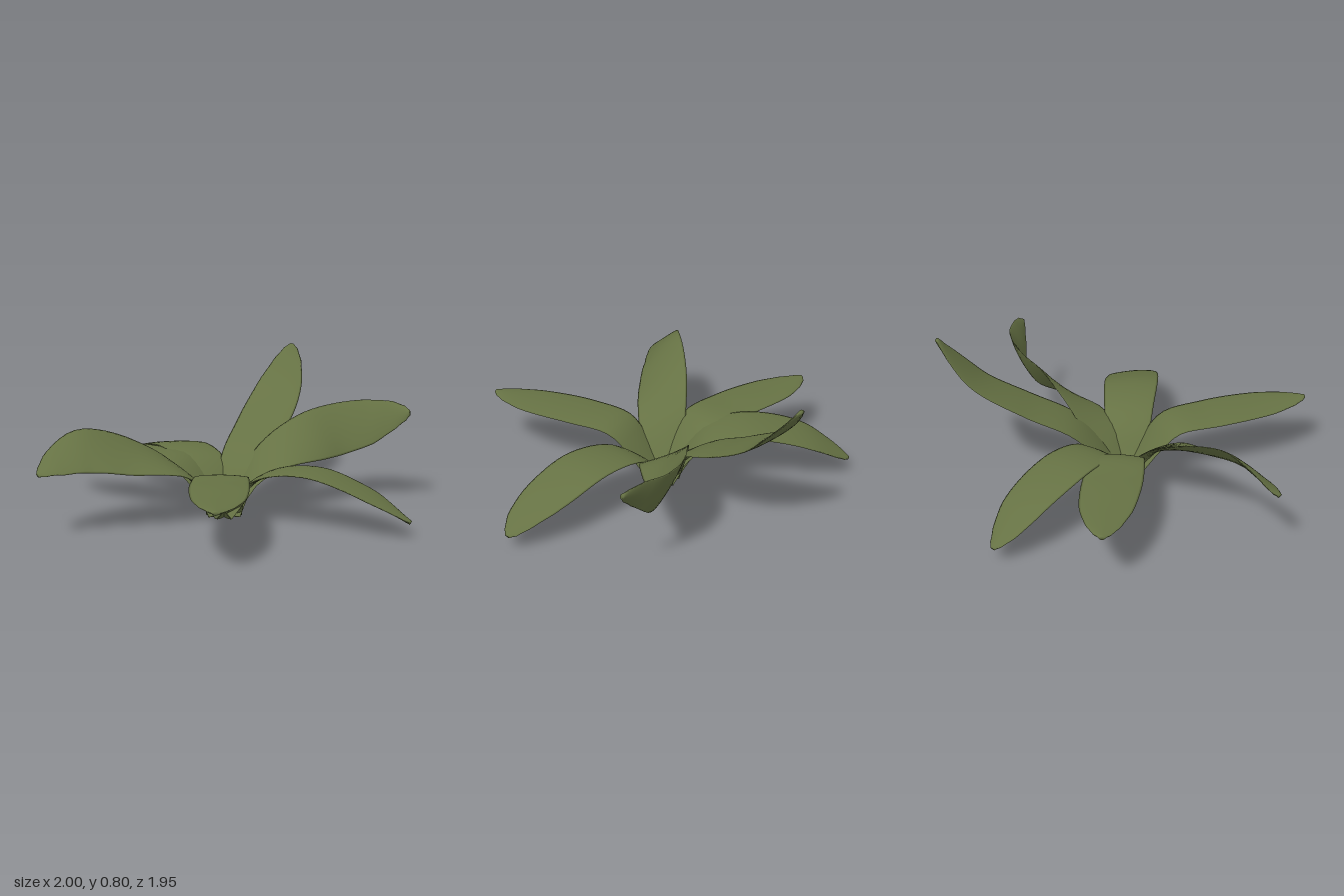
import * as THREE from 'three';

const CENTER = { x: -0.04, z: -0.06 };
const STEPS = 32; // rings along a leaf
const SIDES = 16; // points around a leaf section

// half width from base to tip
const widthCurve = new THREE.SplineCurve([
  [0, 0.096], [0.15, 0.112], [0.28, 0.13], [0.5, 0.149], [0.65, 0.149],
  [0.8, 0.13], [0.92, 0.084], [0.98, 0.042], [1, 0.016],
].map(([t, w]) => new THREE.Vector2(t, w)));

function halfWidth(t) {
  const p = widthCurve.points;
  let i = 0;
  while (i < p.length - 2 && t > p[i + 1].x) i++;
  const f = (t - p[i].x) / (p[i + 1].x - p[i].x);
  return widthCurve.getPoint((i + f) / (p.length - 1)).y;
}

// each leaf: spine points after the shared stalk as [x, y, z, roll]
const leaves = {
  frontLeaf: [[-0.06, 0.285, 0.19, 0], [-0.083, 0.307, 0.42, 0], [-0.105, 0.31, 0.75, 0], [-0.125, 0.312, 0.97, 0]],
  frontRightLeaf: [[-0.3, 0.3, 0.04, -0.15], [-0.54, 0.39, 0.13, -0.55], [-0.76, 0.437, 0.22, -0.78],
    [-0.9, 0.395, 0.285, -0.65], [-0.995, 0.34, 0.335, -0.3]],
  backRightLeaf: [[-0.27, 0.29, -0.2, 0], [-0.48, 0.308, -0.32, 0], [-0.74, 0.31, -0.47, 0], [-0.935, 0.31, -0.57, 0]],
  rearRightLeaf: [[-0.15, 0.275, -0.28, 0.02], [-0.24, 0.31, -0.44, 0.05], [-0.33, 0.285, -0.61, 0.08],
    [-0.41, 0.225, -0.77, 0.1], [-0.48, 0.13, -0.91, 0.1], [-0.505, 0.085, -0.97, 0.1]],
  rearLeftLeaf: [[0.09, 0.31, -0.3, 0], [0.2, 0.425, -0.52, 0.04], [0.3, 0.56, -0.74, 0.06],
    [0.37, 0.71, -0.87, 0.08], [0.4, 0.8, -0.93, 0.1]],
  backLeftLeaf: [[0.24, 0.31, -0.18, 0.35], [0.45, 0.385, -0.28, 0.85], [0.62, 0.415, -0.36, 1.1],
    [0.78, 0.45, -0.365, 1.2], [0.9, 0.495, -0.31, 1.2], [0.99, 0.52, -0.26, 1.2]],
  frontLeftLeaf: [[0.21, 0.272, 0.065, 0], [0.42, 0.295, 0.17, -0.04], [0.62, 0.235, 0.27, -0.08],
    [0.78, 0.155, 0.355, -0.1], [0.89, 0.085, 0.4, -0.1]],
};

function leafGeometry(points) {
  // stalk rises out of the shared center towards the first spine point
  const [fx, , fz] = points[0];
  const d = new THREE.Vector2(fx - CENTER.x, fz - CENTER.z).normalize();
  const stalk = [[0, 0.01], [0.075, 0.1], [0.15, 0.195]]
    .map(([r, y]) => [CENTER.x + d.x * r, y, CENTER.z + d.y * r, 0]);
  const all = [...stalk, ...points];
  const spine = new THREE.CatmullRomCurve3(all.map(([x, y, z]) => new THREE.Vector3(x, y, z)));
  const up = new THREE.Vector3(0, 1, 0);
  const position = [], index = [];

  for (let i = -1; i <= STEPS + 1; i++) {
    const cap = i < 0 || i > STEPS; // collapsed rings close both ends
    const s = THREE.MathUtils.clamp(i / STEPS, 0, 1);
    const t = 1 - Math.pow(1 - s, 1.4); // finer rings near the tip
    const u = spine.getUtoTmapping(t);
    const c = spine.getPoint(u);
    const tangent = spine.getTangent(u);
    const k = Math.min(u * (all.length - 1), all.length - 1.001);
    const roll = THREE.MathUtils.lerp(all[Math.floor(k)][3], all[Math.floor(k) + 1][3], k % 1);
    const side = new THREE.Vector3().crossVectors(up, tangent).normalize().applyAxisAngle(tangent, roll);
    const normal = new THREE.Vector3().crossVectors(tangent, side);
    const w = cap ? 0 : halfWidth(t);
    const h = cap ? 0 : 0.011;
    for (let j = 0; j < SIDES; j++) {
      const a = (j / SIDES) * Math.PI * 2;
      const lens = Math.sin(a) * (0.35 + 0.65 * Math.abs(Math.sin(a))); // thinner towards the edges
      const p = c.clone().addScaledVector(side, Math.cos(a) * w).addScaledVector(normal, lens * h);
      position.push(p.x, Math.max(0, p.y), p.z);
    }
  }
  for (let i = 0; i < STEPS + 2; i++) {
    for (let j = 0; j < SIDES; j++) {
      const a = i * SIDES + j, b = i * SIDES + (j + 1) % SIDES;
      index.push(a, b, a + SIDES, b, b + SIDES, a + SIDES);
    }
  }
  const g = new THREE.BufferGeometry();
  g.setAttribute('position', new THREE.Float32BufferAttribute(position, 3));
  g.setIndex(index);
  g.computeVertexNormals();
  return g;
}

export function createModel() {
  const group = new THREE.Group();
  group.name = 'leafRosette';
  const leafGreen = new THREE.MeshStandardMaterial({ color: 0x667244 });
  leafGreen.name = 'leaf green';
  for (const [name, points] of Object.entries(leaves)) {
    const leaf = new THREE.Mesh(leafGeometry(points), leafGreen);
    leaf.name = name;
    group.add(leaf);
  }
  return group;
}
